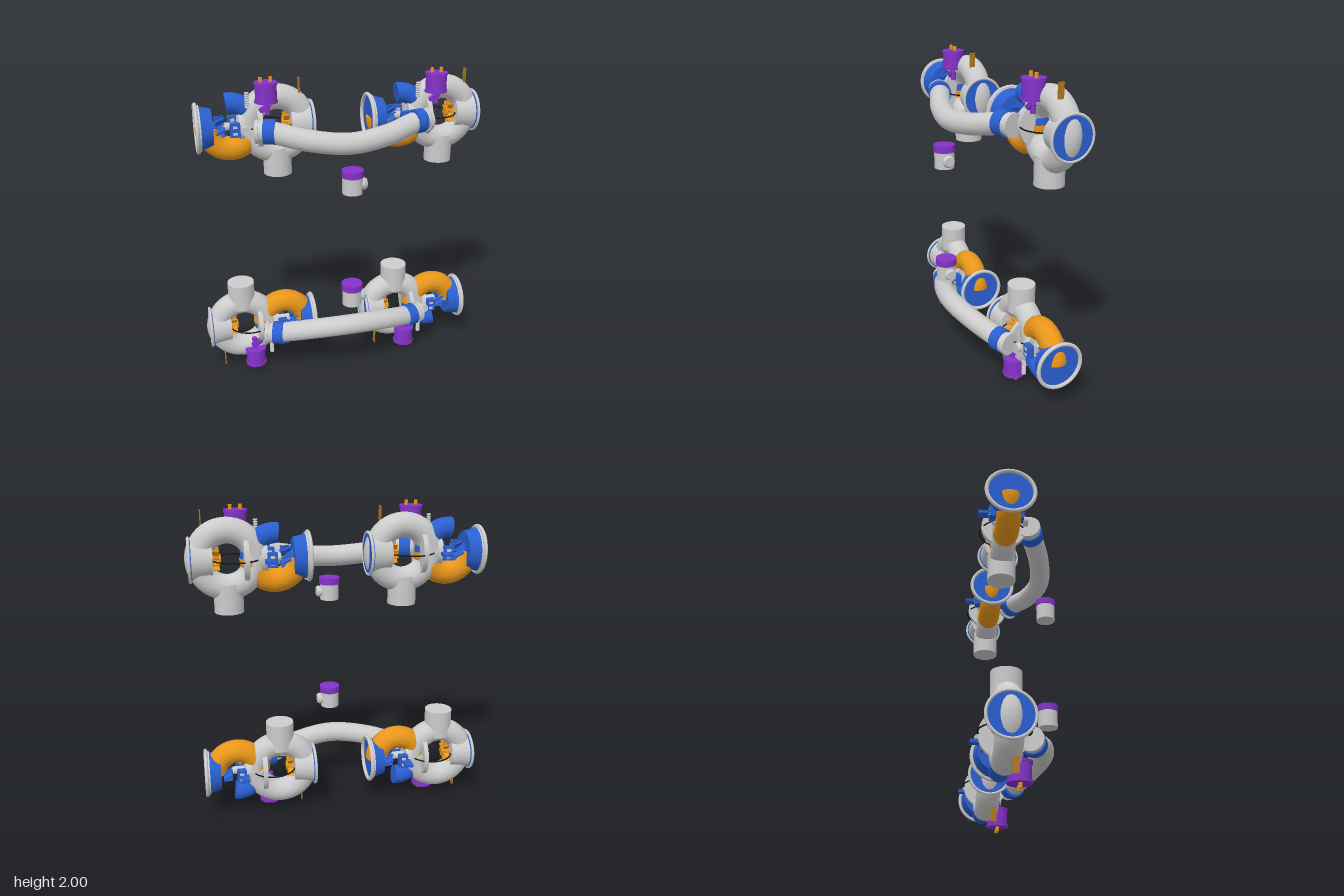
import * as THREE from 'three';

const mat = (color) => new THREE.MeshStandardMaterial({ color, side: THREE.DoubleSide });
const GREY = mat(0xcccccc), BLUE = mat(0x2a5fd0), ORANGE = mat(0xe8961a);
const PURPLE = mat(0x8432c8), BLACK = mat(0x181818), GOLD = mat(0xb07820);

function add(parent, name, geo, material, x = 0, y = 0, z = 0) {
  const m = new THREE.Mesh(geo, material);
  m.name = name;
  m.position.set(x, y, z);
  parent.add(m);
  return m;
}

// Cylinder along x from x0 to x1 with end radii r0 and r1
function drumX(parent, name, material, x0, x1, r0, r1 = r0, y = 0, z = 0) {
  const g = new THREE.CylinderGeometry(r1, r0, x1 - x0, 40).rotateZ(-Math.PI / 2);
  return add(parent, name, g, material, (x0 + x1) / 2, y, z);
}

// Upright cylinder from y0 to y1
function drumY(parent, name, material, y0, y1, r, x = 0, z = 0) {
  return add(parent, name, new THREE.CylinderGeometry(r, r, y1 - y0, 32), material, x, (y0 + y1) / 2, z);
}

// Ring around the x axis
function ringX(parent, name, material, x, R, r) {
  return add(parent, name, new THREE.TorusGeometry(R, r, 12, 48).rotateY(Math.PI / 2), material, x);
}

// Bent pipe in the xy plane, angles in degrees, capped at both ends
function elbow(parent, name, material, x, R, r, a0, a1) {
  const rad = Math.PI / 180;
  const g = new THREE.TorusGeometry(R, r, 24, 64, (a1 - a0) * rad).rotateZ(a0 * rad);
  add(parent, name, g, material, x);
  if (a1 - a0 < 360) for (const a of [a0, a1]) {
    const cap = add(parent, name + 'Cap', new THREE.CircleGeometry(r, 24).rotateX(Math.PI / 2),
      material, x + R * Math.cos(a * rad), R * Math.sin(a * rad));
    cap.rotation.z = a * rad;
  }
}

function actuator() {
  const g = new THREE.Group();
  g.name = 'actuator';
  drumY(g, 'actuatorCan', PURPLE, 0.155, 0.275, 0.065);
  for (const y of [0.155, 0.262]) drumY(g, 'actuatorRim', PURPLE, y, y + 0.014, 0.071);
  for (const x of [-0.03, 0.03]) drumY(g, 'actuatorPin', ORANGE, 0.27, 0.305, 0.011, x);
  // Angled bracket under the can
  drumY(g, 'actuatorStem', PURPLE, 0.08, 0.16, 0.016, 0.005);
  add(g, 'actuatorBracket', new THREE.BoxGeometry(0.075, 0.03, 0.04), PURPLE, -0.012, 0.122, 0).rotation.z = 0.6;
  g.position.set(-0.066, 0, 0.08);
  return g;
}

function turboUnit() {
  const g = new THREE.Group();
  g.name = 'turboUnit';

  // Turbine side: ring housing, inlet port and end flange
  elbow(g, 'turbineHousing', GREY, 0, 0.168, 0.077, 0, 360);
  drumY(g, 'turbinePort', GREY, -0.32, -0.14, 0.088);
  drumX(g, 'turbineCone', GREY, 0.085, 0.21, 0.1, 0.118);
  drumX(g, 'turbineBand', BLUE, 0.205, 0.222, 0.124);
  ringX(g, 'turbineFlange', GREY, 0.218, 0.128, 0.009);

  // Turbine wheel inside the ring
  drumX(g, 'turbineHub', ORANGE, 0.035, 0.085, 0.03);
  for (let i = 0; i < 10; i++) {
    const blade = add(g, 'turbineBlade', new THREE.BoxGeometry(0.035, 0.05, 0.008).translate(0, 0.045, 0), ORANGE, 0.062);
    blade.rotation.x = i * Math.PI / 5;
  }
  add(g, 'sensorStrip', new THREE.BoxGeometry(0.007, 0.09, 0.036), GOLD, 0.14, 0.237, 0.035);

  // Centre discs and shaft
  drumX(g, 'backPlate', GREY, -0.125, -0.095, 0.14);
  drumX(g, 'bearingHousing', GREY, -0.2, -0.12, 0.075);
  drumX(g, 'compressorPlate', GREY, -0.235, -0.2, 0.088);
  drumX(g, 'shaft', GREY, -0.33, -0.2, 0.025);

  // Thin clamp wire lying level around the centre
  add(g, 'clampWire', new THREE.TorusGeometry(0.145, 0.0045, 8, 64).rotateX(Math.PI / 2), BLACK, -0.05);

  // Compressor side: ring made of an orange half and a blue quarter
  elbow(g, 'orangeElbow', ORANGE, -0.283, 0.137, 0.074, 180, 360);
  elbow(g, 'blueElbow', BLUE, -0.283, 0.145, 0.062, 0, 97);
  drumX(g, 'compressorFunnel', BLUE, -0.473, -0.39, 0.135, 0.115);
  ringX(g, 'compressorFlange', GREY, -0.482, 0.143, 0.012);
  add(g, 'compressorRim', new THREE.CylinderGeometry(0.14, 0.14, 0.03, 48, 1, true).rotateZ(Math.PI / 2), GREY, -0.475);

  // Compressor wheel
  drumX(g, 'compressorHub', BLUE, -0.39, -0.31, 0.04, 0.02);
  for (let i = 0; i < 10; i++) {
    const fin = new THREE.Group();
    fin.name = 'compressorFin';
    add(fin, 'finBlade', new THREE.BoxGeometry(0.06, 0.045, 0.01), BLUE, -0.345, 0.045, 0).rotation.y = 0.5;
    fin.rotation.x = i * Math.PI / 5;
    g.add(fin);
  }

  // Control blocks on front and back
  for (const z of [0.085, -0.085]) {
    add(g, 'controlBlock', new THREE.BoxGeometry(0.06, 0.085, 0.04), BLUE, -0.26, 0, z);
    for (const y of [-0.02, 0.02])
      add(g, 'controlSlot', new THREE.BoxGeometry(0.026, 0.016, 0.046), GREY, -0.26, y, z);
  }
  add(g, 'rearLug', new THREE.BoxGeometry(0.052, 0.02, 0.08), BLUE, -0.24, 0, -0.132);
  const bolt = new THREE.CylinderGeometry(0.03, 0.03, 0.03, 24).rotateX(Math.PI / 2);
  add(g, 'frontBolt', bolt, GREY, -0.196, 0, 0.125);

  // Coiled return spring
  drumY(g, 'springRod', GREY, 0.12, 0.22, 0.006, -0.18, 0.07);
  for (let i = 0; i < 7; i++)
    add(g, 'springCoil', new THREE.TorusGeometry(0.01, 0.005, 8, 16).rotateX(Math.PI / 2), GREY, -0.18, 0.13 + i * 0.014, 0.07);

  g.add(actuator());
  return g;
}

// Curved cross pipe joining a pair of units
function crossPipe() {
  const g = new THREE.Group();
  g.name = 'crossPipe';
  const pts = [[-0.535, 0.005, 0.035], [-0.46, 0, 0.06], [-0.24, -0.045, 0.145], [0, -0.068, 0.185],
    [0.24, -0.045, 0.145], [0.46, 0, 0.06], [0.535, 0.005, 0.035]].map((p) => new THREE.Vector3(...p));
  const path = new THREE.CatmullRomCurve3(pts);
  add(g, 'pipe', new THREE.TubeGeometry(path, 80, 0.066, 28), GREY);
  const up = new THREE.Vector3(0, 1, 0);
  for (const s of [-1, 1]) {
    const dir = new THREE.Vector3(s * 0.95, 0, -0.31).normalize();
    const parts = [['pipeBand', BLUE, 0.46, 0.06, 0.07, 0.075], ['pipeEndCollar', GREY, 0.53, 0.037, 0.02, 0.072]];
    for (const [name, m, x, z, len, r] of parts)
      add(g, name, new THREE.CylinderGeometry(r, r, len, 32), m, s * x, 0.002, z).quaternion.setFromUnitVectors(up, dir);
  }
  return g;
}

// Two units and their cross pipe, centred on y = 1
function bank() {
  const g = new THREE.Group();
  g.name = 'bank';
  for (const x of [-0.394, 0.676]) {
    const u = turboUnit();
    u.position.set(x, 0.695, -0.12);
    g.add(u);
  }
  const pipe = crossPipe();
  pipe.position.y = 0.695;
  g.add(pipe);
  return g;
}

function valve(y) {
  const g = new THREE.Group();
  g.name = 'valve';
  drumY(g, 'valveBody', GREY, 0, 0.105, 0.062);
  drumY(g, 'valveCap', PURPLE, 0.105, 0.148, 0.067);
  drumX(g, 'valvePort', GREY, 0, 0.075, 0.034, 0.034, 0.055);
  drumX(g, 'valvePortLip', GREY, 0.07, 0.088, 0.04, 0.03, 0.055);
  g.position.set(0, y, 0.228);
  return g;
}

export function createModel() {
  const model = new THREE.Group();
  model.name = 'twinTurboAssembly';
  // The lower bank is the upper one turned half a turn about z
  for (const turn of [0, Math.PI]) {
    const b = bank();
    b.position.y = 1;
    b.rotation.z = turn;
    model.add(b);
  }
  model.add(valve(1.33), valve(0.563));
  return model;
}
